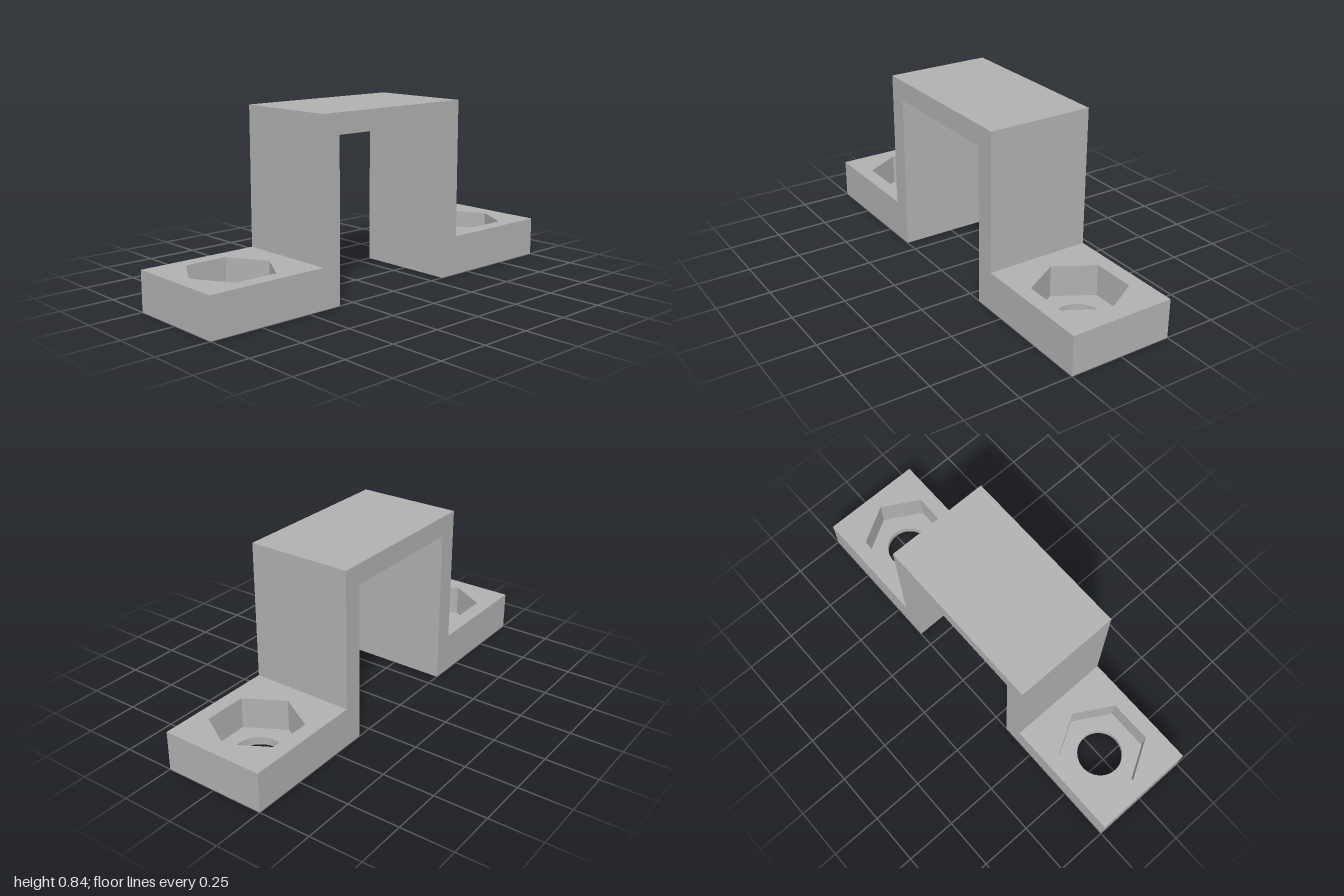
import * as THREE from 'three';

const DEPTH = 0.5, FOOT = 0.187, FLOOR = 0.037;
const HOLE_X = 0.72, HOLE_R = 0.108, HEX_R = 0.207;

// Bracket outline, counter-clockwise as seen from the front
const outline = [
  [-1, 0], [-0.325, 0], [-0.325, 0.745], [0.325, 0.745], [0.325, 0], [1, 0],
  [1, FOOT], [0.418, FOOT], [0.418, 0.84], [-0.418, 0.84], [-0.418, FOOT], [-1, FOOT],
].map(([x, y]) => new THREE.Vector2(x, y));

// Regular polygon with a corner on the x axis (many sides make a circle)
function polygon(cx, r, sides) {
  return Array.from({ length: sides }, (_, i) => {
    const a = (i / sides) * Math.PI * 2;
    return new THREE.Vector2(cx + r * Math.cos(a), r * Math.sin(a));
  });
}

// Horizontal face with one hole, facing up (1) or down (-1)
function piercedFace(contour, hole, y, facing) {
  const shape = new THREE.Shape(contour);
  shape.holes.push(new THREE.Path(hole));
  return new THREE.ShapeGeometry(shape).rotateX(-facing * Math.PI / 2).translate(0, y, 0);
}

// Inward-facing wall of a vertical hole
function boreWall(r, sides, y0, y1, x) {
  const points = [new THREE.Vector2(r, y1), new THREE.Vector2(r, y0)];
  return new THREE.LatheGeometry(points, sides, Math.PI / 2).translate(x, 0, 0);
}

export function createModel() {
  const group = new THREE.Group();
  const grey = new THREE.MeshStandardMaterial({ color: 0xb0b0b0 });
  grey.name = 'grey';
  const add = (name, geometry) => {
    const mesh = new THREE.Mesh(geometry, grey);
    mesh.name = name;
    group.add(mesh);
  };

  // Front and back profile faces
  const profile = new THREE.ShapeGeometry(new THREE.Shape(outline));
  add('frontFace', profile.clone().translate(0, 0, DEPTH / 2));
  add('backFace', profile.clone().rotateY(Math.PI).translate(0, 0, -DEPTH / 2));

  // Walls between the profiles, leaving out the pierced foot faces
  const pierced = [0, 4, 6, 10];
  outline.forEach((a, i) => {
    if (pierced.includes(i)) return;
    const b = outline[(i + 1) % outline.length];
    const wall = new THREE.PlaneGeometry(a.distanceTo(b), DEPTH)
      .rotateX(-Math.PI / 2)
      .rotateZ(Math.atan2(a.y - b.y, a.x - b.x))
      .translate((a.x + b.x) / 2, (a.y + b.y) / 2, 0);
    add('bracketWall', wall);
  });

  // Feet with a hexagonal nut pocket above a round bolt hole
  for (const [side, s] of [['left', 1], ['right', -1]]) {
    const cx = s * HOLE_X;
    const rect = (inner) => [[s * inner, -DEPTH / 2], [s, -DEPTH / 2], [s, DEPTH / 2], [s * inner, DEPTH / 2]]
      .map(([x, y]) => new THREE.Vector2(x, y));
    const hex = polygon(cx, HEX_R, 6), circle = polygon(cx, HOLE_R, 48);
    add(side + 'FootTop', piercedFace(rect(0.418), hex, FOOT, 1));
    add(side + 'FootBottom', piercedFace(rect(0.325), circle, 0, -1));
    add(side + 'PocketFloor', piercedFace(hex, circle, FLOOR, 1));
    const pocket = boreWall(HEX_R, 6, FLOOR, FOOT, cx).toNonIndexed();
    pocket.computeVertexNormals();
    add(side + 'PocketWall', pocket);
    add(side + 'BoltHole', boreWall(HOLE_R, 48, 0, FLOOR, cx));
  }
  return group;
}
